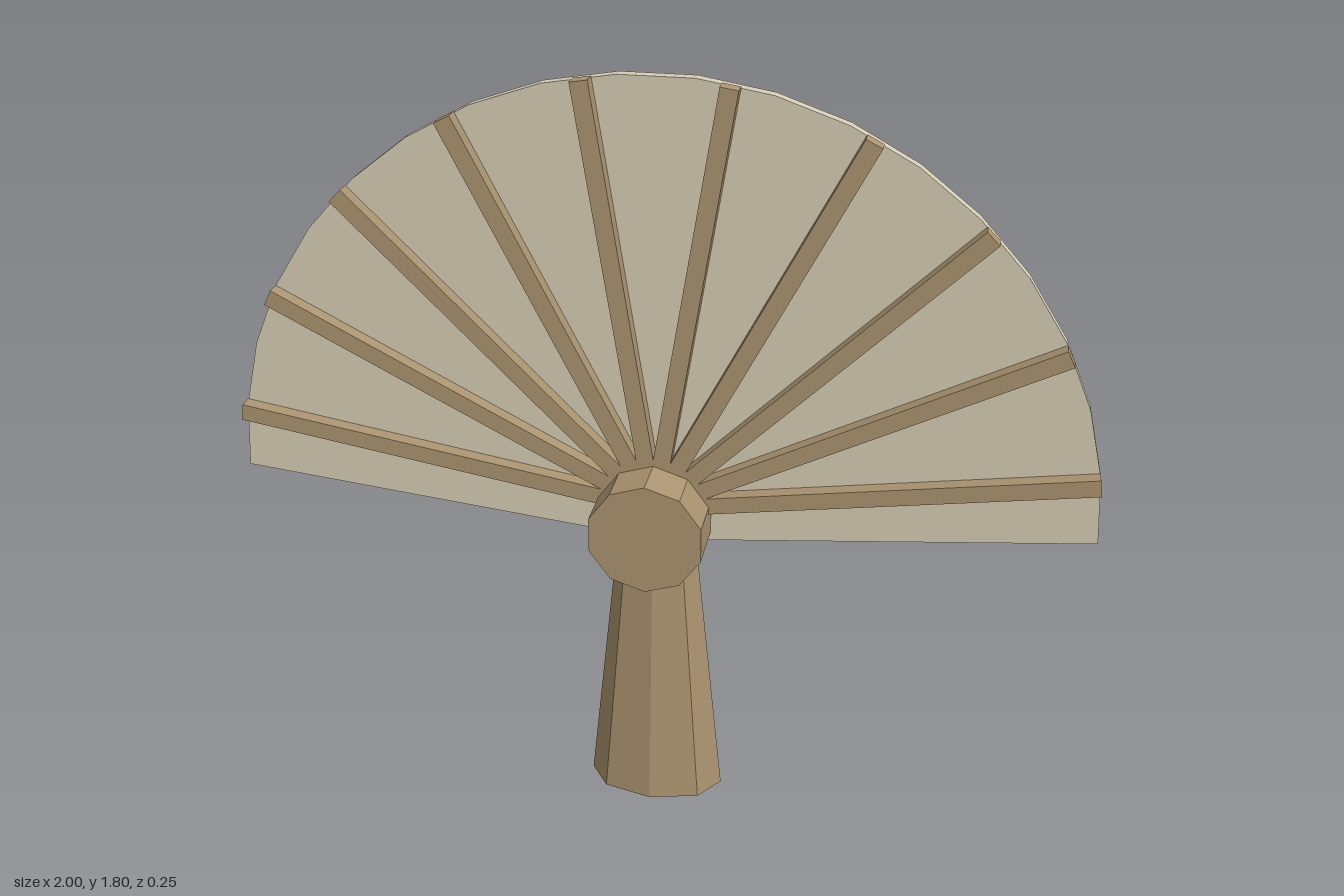
import * as THREE from 'three';

export function createModel() {
  const wood = new THREE.MeshStandardMaterial({ color: 0xab9470 });
  wood.name = 'wood';
  wood.flatShading = true;
  const paper = new THREE.MeshStandardMaterial({ color: 0xd6cdb5 });
  paper.name = 'paper';
  paper.flatShading = true;

  const model = new THREE.Group();
  model.name = 'handFan';
  const add = (name, geometry, material, parent = model) => {
    const mesh = new THREE.Mesh(geometry, material);
    mesh.name = name;
    parent.add(mesh);
    return mesh;
  };

  const centreY = 0.8;

  // Paper leaf: half disc with a shallow point at the bottom
  const outline = [new THREE.Vector2(0, 0.7)];
  const steps = 19;
  for (let i = 0; i <= steps; i++) {
    const a = (i / steps) * Math.PI;
    outline.push(new THREE.Vector2(Math.cos(a), centreY + Math.sin(a)));
  }
  const leaf = new THREE.ExtrudeGeometry(new THREE.Shape(outline), { depth: 0.026, bevelEnabled: false });
  add('leaf', leaf, paper).position.z = -0.04;

  // Ten ribs radiating over the front of the leaf
  const ribs = new THREE.Group();
  ribs.name = 'ribs';
  ribs.position.set(0, centreY, 0.003);
  model.add(ribs);
  const ribGeometry = new THREE.BoxGeometry(0.9, 0.04, 0.034).translate(0.55, 0, 0);
  for (let i = 0; i < 10; i++) {
    add('rib', ribGeometry, wood, ribs).rotation.z = THREE.MathUtils.degToRad(9 + 18 * i);
  }

  // Ten-sided hub
  const hub = new THREE.CylinderGeometry(0.136, 0.136, 0.19, 10).rotateX(Math.PI / 2);
  add('hub', hub, wood).position.set(0, 0.776, 0.029);

  // Flattened, tapered eight-sided handle
  const handle = new THREE.CylinderGeometry(0.08, 0.165, 0.83, 8).scale(1, 1, 0.58);
  add('handle', handle, wood).position.set(0, 0.415, -0.026);

  return model;
}
